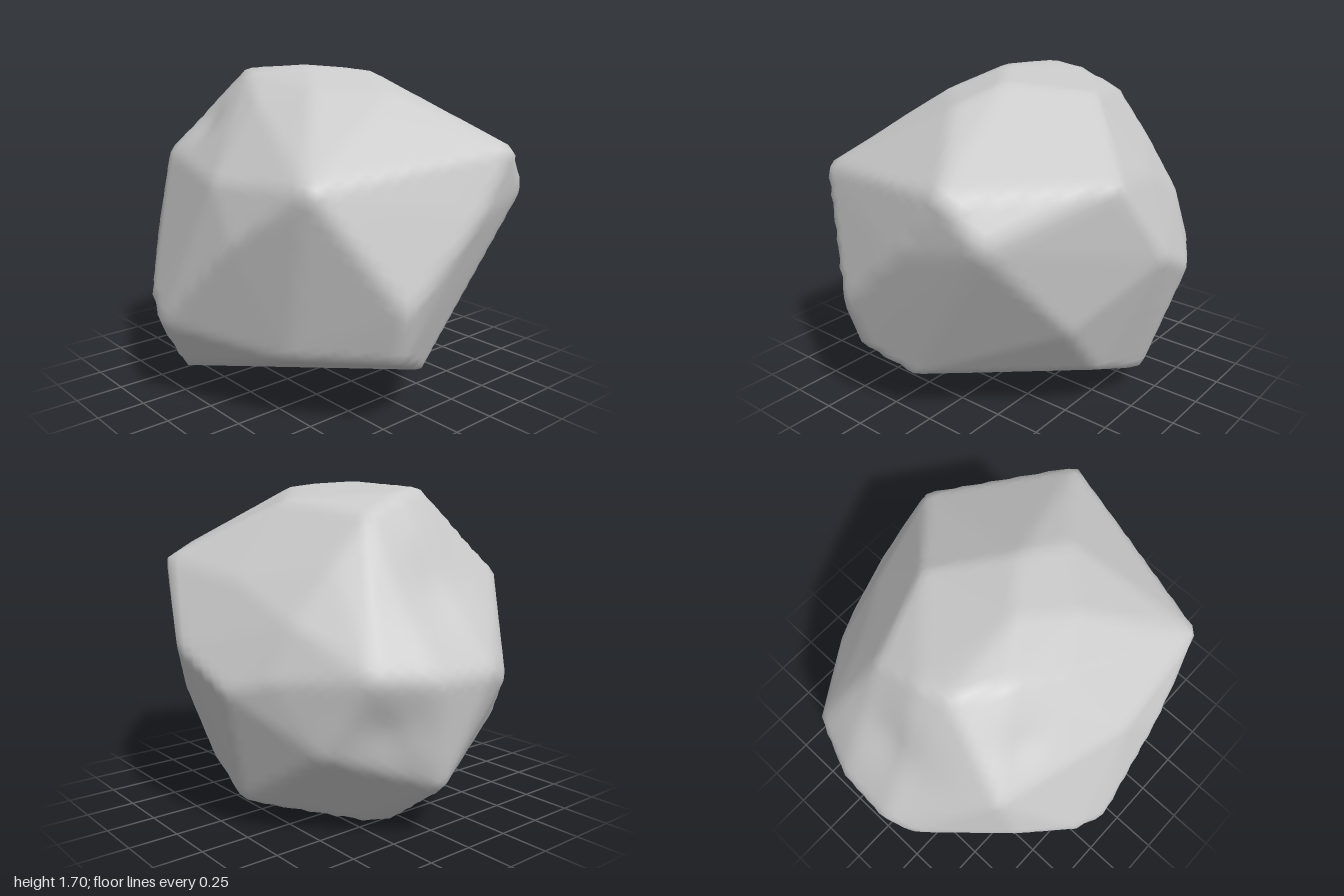
import * as THREE from 'three';
import { mergeVertices } from 'three/addons/utils/BufferGeometryUtils.js';
import { ConvexGeometry } from 'three/addons/geometries/ConvexGeometry.js';

const MID = 0.85; // height of the boulder's middle

// Corners of the boulder's main facets
const corners = [
  // crown
  [-0.3, 1.66, -0.25], [-0.14, 1.67, -0.48], [-0.1, 1.705, 0], [0, 1.65, -0.52], [0.1, 1.68, 0.25], [0.4, 1.61, -0.1],
  [-0.43, 1.54, 0], [0.25, 1.55, -0.55], [0, 1.59, 0.5], [-0.28, 1.6, 0.25],
  // front brow, face and lower lip
  [0.35, 1.34, 0.98], [-0.7, 1.23, 0.72], [0.52, 1.12, 0.92], [-0.33, 0.65, 0.975], [0.09, 1.02, 1],
  [-0.3, 0.4, 0.91], [-0.05, 0.27, 0.8], [-0.63, 0.38, 0.5], [0.05, 0.23, 0.62],
  // +x flank
  [0.83, 1.32, 0.33], [0.71, 1.24, -0.13], [0.93, 0.92, 0.06], [0.67, 0.6, 0.47], [0.3, 0.28, 0.45],
  [0.66, 0.28, 0.2], [0.88, 0.75, -0.27], [0.76, 0.81, -0.48], [0.73, 0.37, -0.2], [0.45, 1.33, -0.53], [0.66, 1.07, -0.5],
  // back
  [0.6, 0.47, -0.65], [0.49, 0.85, -0.87], [0.2, 0.83, -0.99], [-0.13, 0.83, -1.01], [-0.28, 0.78, -0.95],
  [0.1, 0.29, -0.92], [-0.13, 0.42, -0.79],
  // -x flank
  [-0.57, 1.24, -0.61], [-0.76, 1.18, 0.1], [-0.83, 0.93, 0.33], [-0.94, 0.45, -0.14],
  [-0.88, 0.55, -0.32], [-0.68, 0.8, -0.59], [-0.5, 0.5, -0.69],
  // underside
  [0.07, -0.005, -0.52], [0.2, 0.015, -0.5], [0.62, 0.13, -0.24], [0.71, 0.15, -0.15], [-0.45, 0.06, -0.22], [-0.79, 0.18, -0.17],
].map(([x, y, z]) => new THREE.Vector3(x, y - MID, z));

// Shallow hollows: direction from the middle, depth, width
const dents = [
  [[0.36, -0.25, -0.85], 0.03, 0.16],
  [[0, 0.35, -0.75], 0.04, 0.27],
  [[-0.47, 0.55, -0.37], 0.025, 0.15],
].map(([d, depth, width]) => ({ dir: new THREE.Vector3(...d).normalize(), depth, width }));

// Planes of the facets, from the hull of the corners
function facetPlanes() {
  const p = new ConvexGeometry(corners).attributes.position;
  const planes = [];
  for (let i = 0; i < p.count; i += 3) {
    const [a, b, c] = [0, 1, 2].map((k) => new THREE.Vector3().fromBufferAttribute(p, i + k));
    planes.push(new THREE.Plane().setFromCoplanarPoints(a, b, c));
  }
  return planes;
}

export function createModel() {
  const planes = facetPlanes();
  let geo = new THREE.IcosahedronGeometry(1, 22);
  geo.deleteAttribute('normal');
  geo.deleteAttribute('uv');
  geo = mergeVertices(geo, 1e-4);

  // Push a fine ball out to the facets, so ridges are slightly softened
  const pos = geo.attributes.position;
  const v = new THREE.Vector3();
  for (let i = 0; i < pos.count; i++) {
    v.fromBufferAttribute(pos, i).normalize();
    let inv = 0;
    for (const pl of planes) inv = Math.max(inv, pl.normal.dot(v) / -pl.constant);
    let r = 1 / inv;
    for (const d of dents) r -= d.depth * Math.exp(-((v.angleTo(d.dir) / d.width) ** 2));
    v.multiplyScalar(r);
    pos.setXYZ(i, v.x, Math.max(v.y + MID, 0), v.z);
  }
  geo.computeVertexNormals();

  const boulder = new THREE.Mesh(geo, new THREE.MeshStandardMaterial({ color: 0xcccccc }));
  boulder.name = 'boulder';
  const group = new THREE.Group();
  group.name = 'rock';
  group.add(boulder);
  return group;
}
